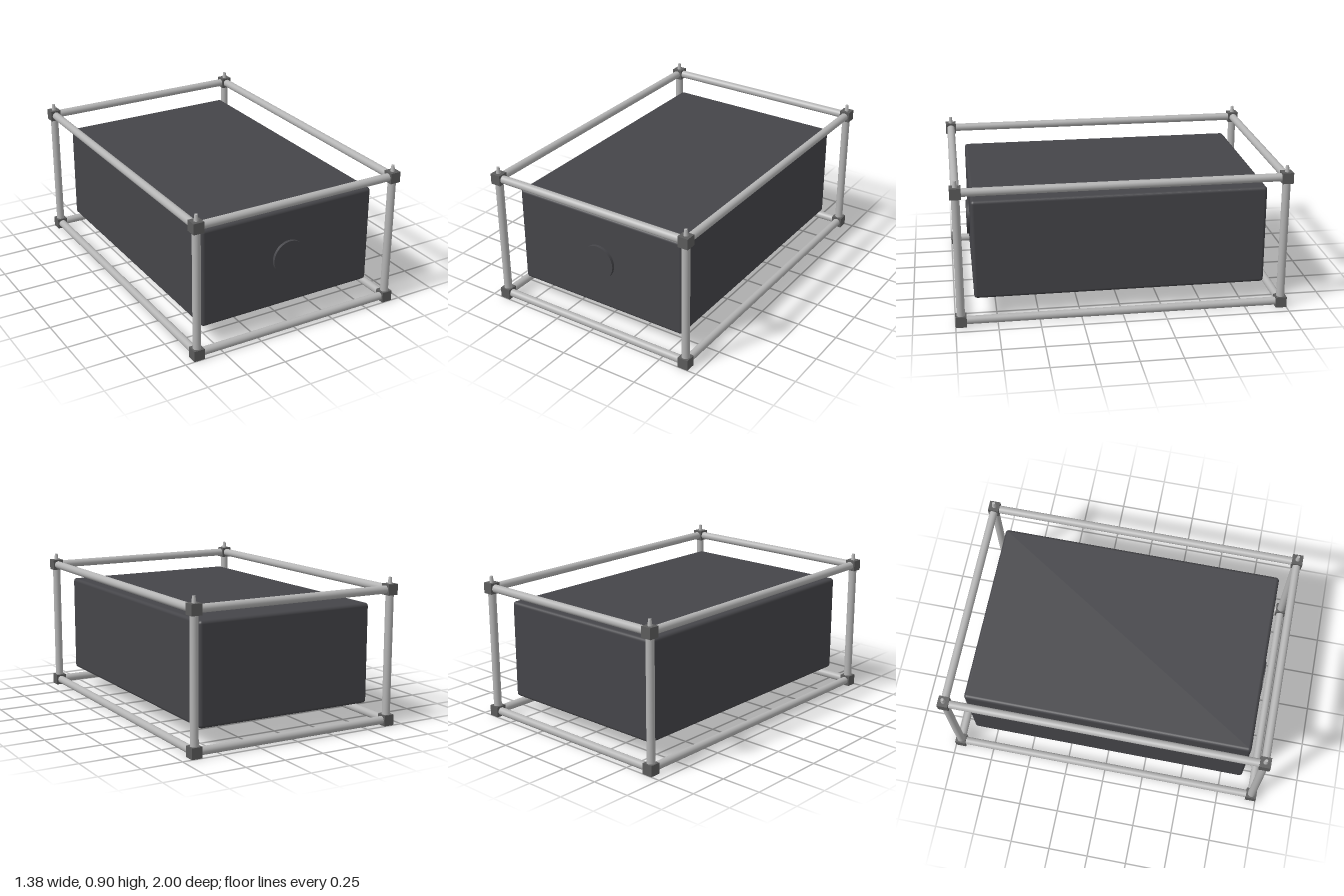
import * as THREE from 'three';
import { RoundedBoxGeometry } from 'three/addons/geometries/RoundedBoxGeometry.js';

export function createModel() {
  const model = new THREE.Group();
  const shellMat = new THREE.MeshStandardMaterial({ color: 0x454549 });
  const jointMat = new THREE.MeshStandardMaterial({ color: 0x5c5c5c });
  const tubeMat = new THREE.MeshStandardMaterial({ color: 0xb4b4b4 });

  const X = 0.659, Z = 0.967, LOW = 0.033, HIGH = 0.829;
  const JOINT = 0.066, TUBE_R = 0.0245;

  function add(name, geometry, material, x, y, z, parent = model) {
    const mesh = new THREE.Mesh(geometry, material);
    mesh.name = name;
    mesh.position.set(x, y, z);
    parent.add(mesh);
    return mesh;
  }

  // Enclosed box with softly rounded edges
  add('body', new RoundedBoxGeometry(1.152, 0.614, 1.764, 4, 0.02), shellMat, 0, 0.433, 0);

  // Round cover on the front face
  add('frontCover', new THREE.CylinderGeometry(0.107, 0.107, 0.04, 48), shellMat, 0, 0.433, 0.88)
    .rotation.x = Math.PI / 2;

  // Tube frame around the box
  const frame = new THREE.Group();
  frame.name = 'frame';
  model.add(frame);
  const tube = (length) => new THREE.CylinderGeometry(TUBE_R, TUBE_R, length, 32);
  const widthTube = tube(2 * X), depthTube = tube(2 * Z), postTube = tube(HIGH - LOW);
  const joint = new THREE.BoxGeometry(JOINT, JOINT, JOINT);
  const pin = new THREE.CylinderGeometry(0.009, 0.014, 0.04, 24);

  for (const y of [LOW, HIGH]) {
    for (const s of [-1, 1]) {
      add('widthTube', widthTube, tubeMat, 0, y, s * Z, frame).rotation.z = Math.PI / 2;
      add('depthTube', depthTube, tubeMat, s * X, y, 0, frame).rotation.x = Math.PI / 2;
    }
  }

  // Corner posts, joint blocks and the stacking pins on top
  for (const x of [-X, X]) {
    for (const z of [-Z, Z]) {
      add('cornerPost', postTube, tubeMat, x, (LOW + HIGH) / 2, z, frame);
      add('lowerJoint', joint, jointMat, x, LOW, z, frame);
      add('upperJoint', joint, jointMat, x, HIGH, z, frame);
      add('stackingPin', pin, tubeMat, x, HIGH + JOINT / 2 + 0.019, z, frame);
    }
  }
  return model;
}
